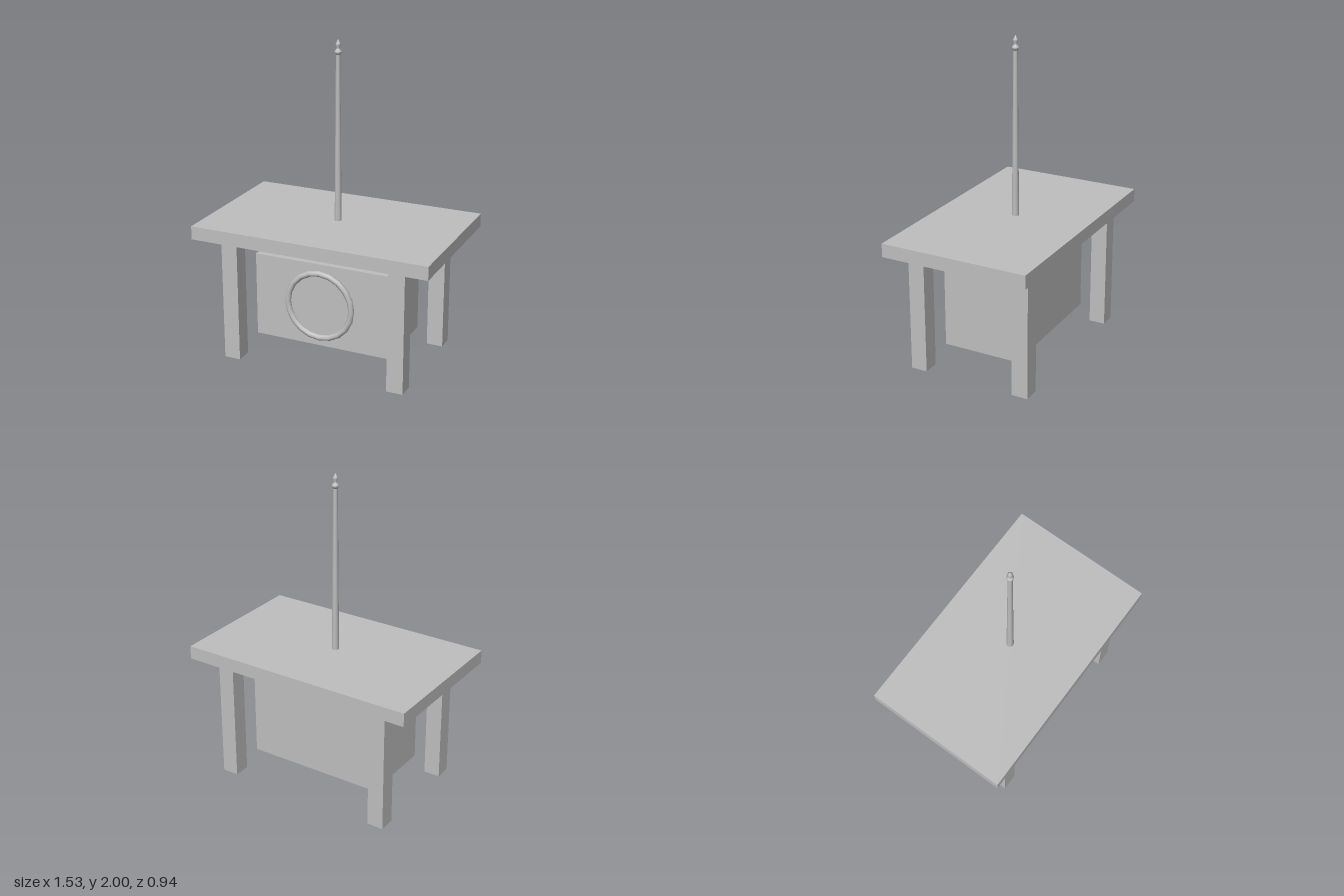
import * as THREE from 'three';

export function createModel() {
  const model = new THREE.Group();
  const grey = new THREE.MeshStandardMaterial({ color: 0xbfbfbf });
  grey.name = 'plain grey';

  const add = (name, geometry, x, y, z) => {
    const mesh = new THREE.Mesh(geometry, grey);
    mesh.name = name;
    mesh.position.set(x, y, z);
    model.add(mesh);
    return mesh;
  };

  // Table top and four square legs
  add('tableTop', new THREE.BoxGeometry(1.53, 0.085, 0.94), 0, 0.8325, 0);
  const leg = new THREE.BoxGeometry(0.105, 0.79, 0.105);
  for (const x of [-1, 1]) {
    for (const z of [-1, 1]) {
      const side = x > 0 ? 'Left' : 'Right';
      add((z > 0 ? 'front' : 'back') + side + 'Leg', leg, x * 0.547, 0.395, z * 0.347);
    }
  }

  // Box hanging between the legs
  add('cabinet', new THREE.BoxGeometry(0.89, 0.54, 0.494), 0, 0.4, 0);

  // Round plate with a raised rim on the cabinet front
  const plate = new THREE.CylinderGeometry(0.213, 0.213, 0.022, 20);
  plate.rotateX(Math.PI / 2);
  add('roundPlate', plate, 0, 0.41, 0.256);
  add('roundRim', new THREE.TorusGeometry(0.212, 0.019, 8, 20), 0, 0.41, 0.276);

  // Slender tapering pole
  add('pole', new THREE.CylinderGeometry(0.014, 0.023, 1.04, 8), 0, 1.395, 0);

  // Turned finial: bead, neck and pointed tip
  const profile = [
    [0, 1.908], [0.014, 1.908], [0.022, 1.92], [0.022, 1.929], [0.012, 1.94],
    [0.009, 1.95], [0.016, 1.966], [0.014, 1.974], [0.006, 1.99], [0, 2],
  ].map(([r, y]) => new THREE.Vector2(r, y));
  add('finial', new THREE.LatheGeometry(profile, 10), 0, 0, 0);

  return model;
}
